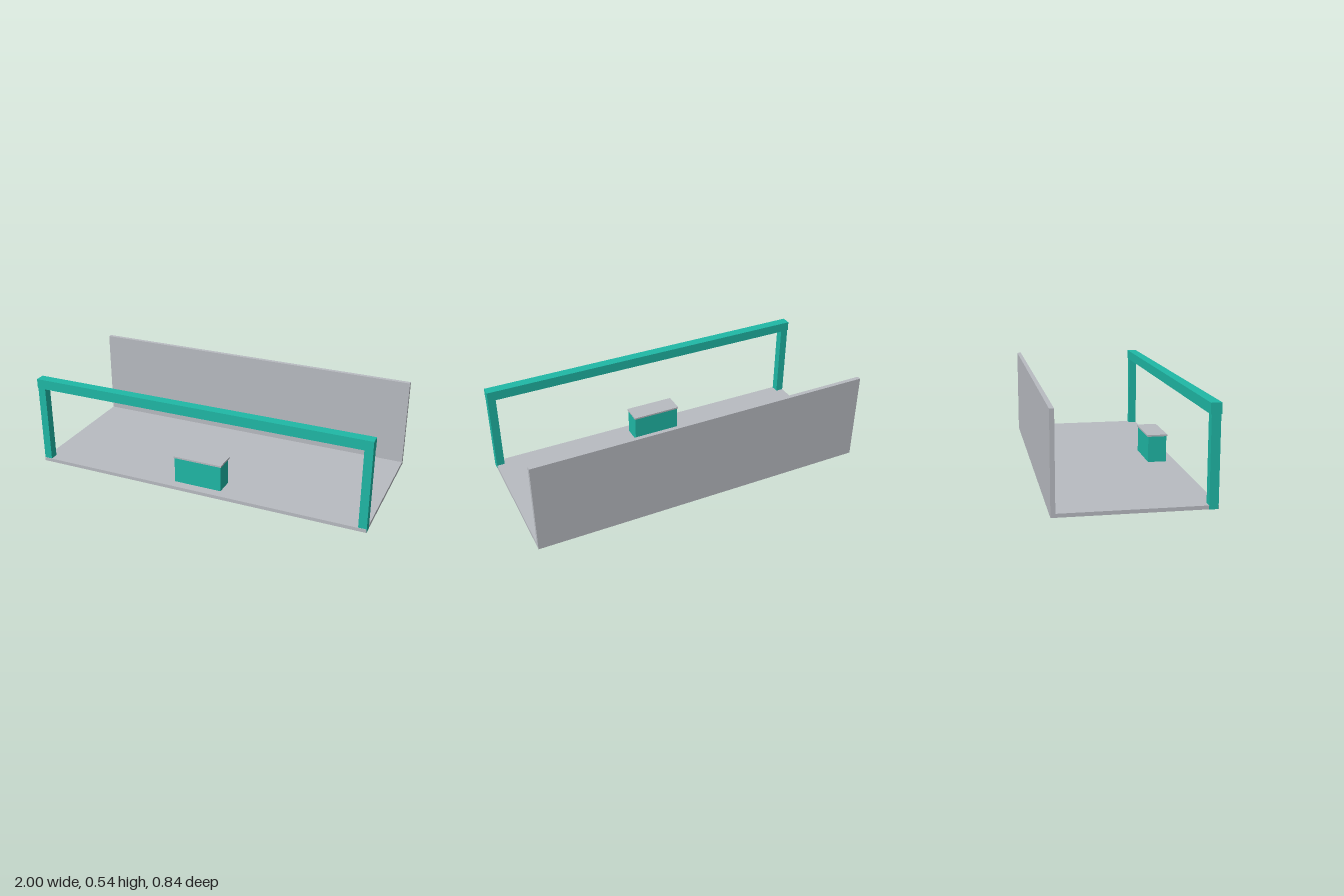
import * as THREE from 'three';

export function createModel() {
  const model = new THREE.Group();
  model.name = 'exhibitionBooth';

  const grey = new THREE.MeshStandardMaterial({ color: 0xb8bbc1 });
  grey.name = 'light grey';
  const teal = new THREE.MeshStandardMaterial({ color: 0x1fb8a6 });
  teal.name = 'teal';

  // Box given by its lower and upper limits on each axis
  const addBox = (name, material, [x0, x1], [y0, y1], [z0, z1], parent = model) => {
    const mesh = new THREE.Mesh(new THREE.BoxGeometry(x1 - x0, y1 - y0, z1 - z0), material);
    mesh.position.set((x0 + x1) / 2, (y0 + y1) / 2, (z0 + z1) / 2);
    mesh.name = name;
    parent.add(mesh);
  };

  // Floor and back wall, a hair inside the posts so no faces coincide
  addBox('floor', grey, [-0.999, 0.999], [0.001, 0.021], [-0.417, 0.417]);
  addBox('backWall', grey, [-0.999, 0.999], [0.001, 0.533], [-0.418, -0.394]);

  // Front frame: two posts under a slightly deeper beam
  const frame = new THREE.Group();
  frame.name = 'frontFrame';
  model.add(frame);
  addBox('leftPost', teal, [0.953, 0.9995], [0, 0.48], [0.366, 0.414], frame);
  addBox('rightPost', teal, [-0.9995, -0.953], [0, 0.48], [0.366, 0.414], frame);
  addBox('beam', teal, [-1, 1], [0.478, 0.535], [0.361, 0.418], frame);

  // Counter with an overhanging top
  const counter = new THREE.Group();
  counter.name = 'counter';
  model.add(counter);
  addBox('counterBody', teal, [-0.144, 0.142], [0, 0.174], [0.254, 0.362], counter);
  addBox('counterTop', grey, [-0.149, 0.146], [0.174, 0.184], [0.248, 0.367], counter);

  return model;
}
